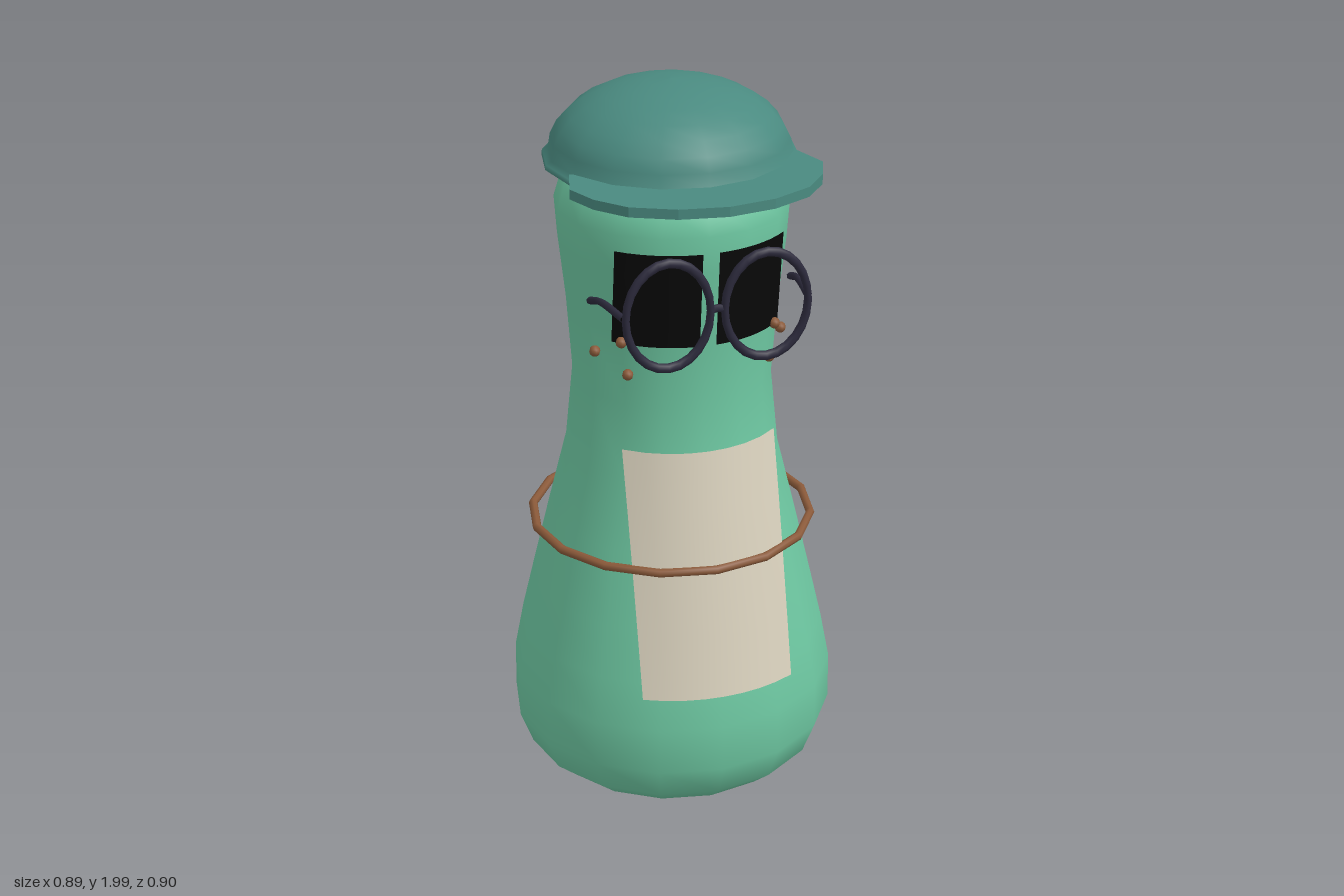
import * as THREE from 'three';

const mat = (name, color, extra = {}) =>
  Object.assign(new THREE.MeshStandardMaterial({ color, ...extra }), { name });

export function createModel() {
  const skin = mat('mint skin', 0x6ec8a2);
  const felt = mat('teal felt', 0x4a8a80);
  const cream = mat('cream cloth', 0xd8d0bc, { side: THREE.DoubleSide });
  const brown = mat('brown leather', 0x8b5a3a);
  const frame = mat('dark frame', 0x2c2a3c);
  const black = mat('black lens', 0x080808, { side: THREE.DoubleSide });

  const group = new THREE.Group();
  const add = (name, geometry, material, x = 0, y = 0, z = 0) => {
    const mesh = new THREE.Mesh(geometry, material);
    mesh.name = name;
    mesh.position.set(x, y, z);
    group.add(mesh);
    return mesh;
  };
  const vec = (x, y, z) => new THREE.Vector3(x, y, z);
  const lathe = pts => new THREE.LatheGeometry(pts.map(p => new THREE.Vector2(...p)), 16);

  // Sheet wrapped on a cone: constant x limits, radius changing from bottom to top
  const wrap = (x0, x1, y0, y1, r0, r1) => {
    const g = new THREE.PlaneGeometry(1, 1, 8, 4);
    const p = g.attributes.position;
    for (let i = 0; i < p.count; i++) {
      const t = p.getY(i) + 0.5;
      const x = x0 + (x1 - x0) * (p.getX(i) + 0.5);
      const r = r0 + (r1 - r0) * t;
      p.setXYZ(i, x, y0 + (y1 - y0) * t, Math.sqrt(r * r - x * x));
    }
    g.computeVertexNormals();
    return g;
  };

  // Bottle-shaped body
  add('body', lathe([
    [0, 0.008], [0.2, 0.022], [0.35, 0.058], [0.41, 0.11], [0.444, 0.2], [0.443, 0.33],
    [0.418, 0.46], [0.385, 0.6], [0.337, 0.8], [0.287, 1.0], [0.267, 1.2], [0.281, 1.4],
    [0.301, 1.58], [0.308, 1.68], [0.287, 1.75], [0.23, 1.8], [0, 1.84],
  ]), skin, 0, 0, -0.003);

  // Cap: rim and dome in one profile, then the brim
  const dome = [[0, 1.785], [0.325, 1.782], [0.335, 1.79], [0.333, 1.803], [0.318, 1.81]];
  for (let i = 1; i <= 8; i++) {
    const a = (i / 8) * Math.PI / 2;
    dome.push([i === 8 ? 0 : 0.318 * Math.cos(a), 1.81 + 0.19 * Math.sin(a)]);
  }
  add('cap', lathe(dome), felt, 0, 0, -0.012);

  const edge = [[0.305, 0.105], [0.335, 0.21], [0.3, 0.3], [0.235, 0.378], [0.125, 0.432], [0, 0.452]];
  const outline = [...edge, ...edge.slice(0, -1).reverse().map(([x, z]) => [-x, z])];
  const brim = new THREE.ExtrudeGeometry(
    new THREE.Shape(outline.map(p => new THREE.Vector2(...p))),
    { depth: 0.026, bevelEnabled: false });
  brim.rotateX(Math.PI / 2);
  add('capBrim', brim, felt, 0, 1.813, 0);

  // Apron and its strap
  add('apron', wrap(-0.21, 0.21, 0.43, 1.09, 0.445, 0.307), cream);
  const strap = new THREE.TorusGeometry(0.382, 0.012, 8, 16);
  strap.rotateX(Math.PI / 2).rotateY(Math.PI / 8);
  add('apronStrap', strap, brown, 0, 0.778, -0.005);

  // Spectacles, eyes and freckles, mirrored
  for (const s of [1, -1]) {
    const side = s > 0 ? 'left' : 'right';
    add(side + 'Lens', wrap(s > 0 ? 0.022 : -0.226, s > 0 ? 0.226 : -0.022, 1.384, 1.643, 0.297, 0.32), black);

    const rim = add(side + 'Rim', new THREE.TorusGeometry(0.141, 0.013, 8, 24), frame, s * 0.13, 1.51, 0.368);
    rim.scale.x = 0.79;

    const arm = new THREE.CatmullRomCurve3([
      vec(s * 0.245, 1.515, 0.365), vec(s * 0.265, 1.513, 0.23), vec(s * 0.272, 1.49, 0.16)]);
    add(side + 'Temple', new THREE.TubeGeometry(arm, 8, 0.01, 6), frame);

    for (const [x, y, z] of [[0.255, 1.34, 0.14], [0.193, 1.3, 0.225], [0.208, 1.39, 0.22]])
      add(side + 'Freckle', new THREE.SphereGeometry(0.015, 8, 6), brown, s * x, y, z);
  }
  const bridge = new THREE.CatmullRomCurve3([vec(-0.025, 1.51, 0.368), vec(0, 1.516, 0.368), vec(0.025, 1.51, 0.368)]);
  add('bridge', new THREE.TubeGeometry(bridge, 6, 0.01, 6), frame);

  return group;
}
